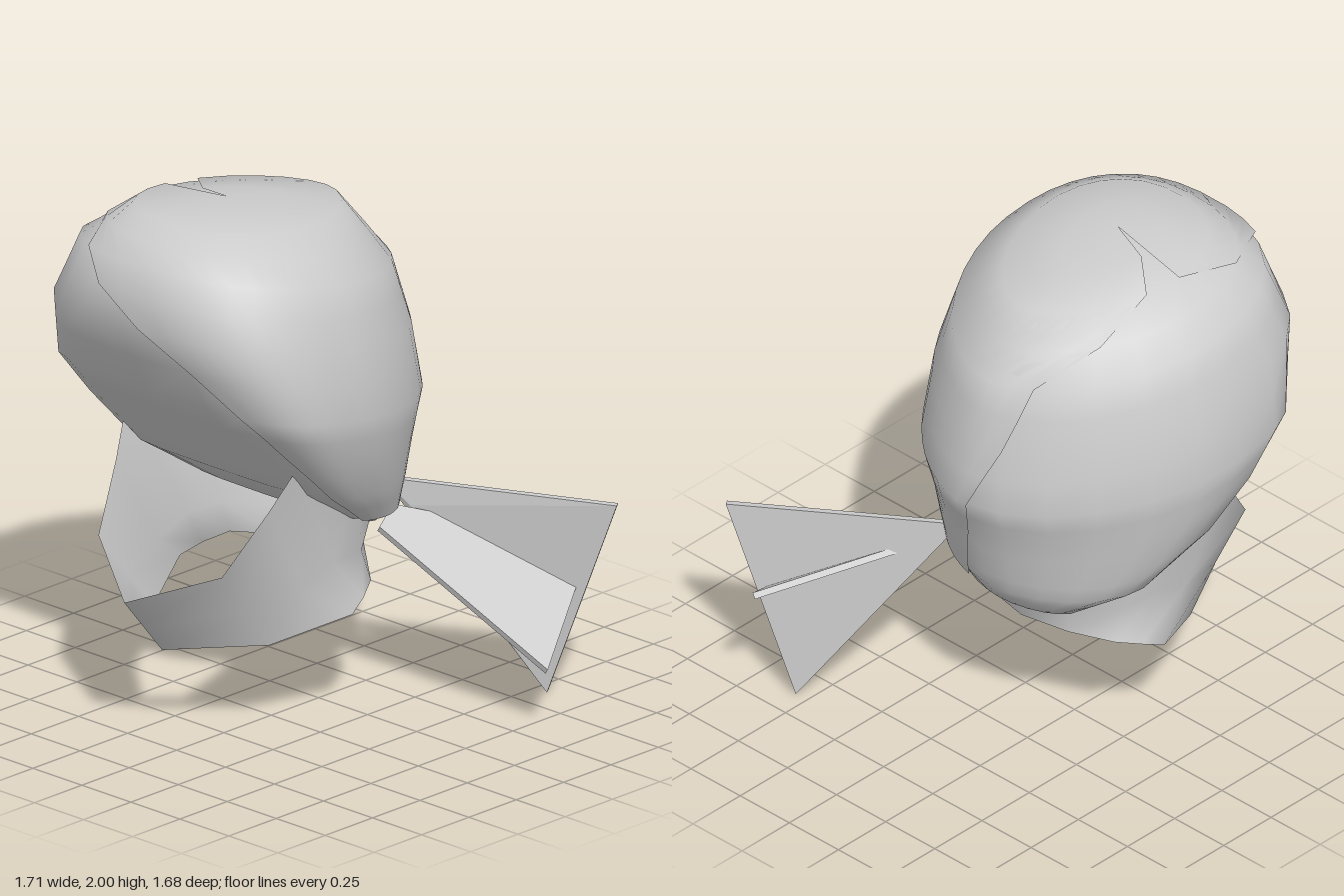
import * as THREE from 'three';
import { mergeVertices } from 'three/addons/utils/BufferGeometryUtils.js';
import { ConvexGeometry } from 'three/addons/geometries/ConvexGeometry.js';

const material = new THREE.MeshStandardMaterial({ color: 0xcccccc, side: THREE.DoubleSide });
const CX = -0.2; // the wrap sits off centre because the tails stick out to one side
const lerp = THREE.MathUtils.lerp;

// Smooth surface through a grid of points: point(column, row) -> Vector3
function surface(name, columns, rows, point) {
  const position = [], index = [];
  for (let r = 0; r <= rows; r++)
    for (let c = 0; c <= columns; c++) position.push(...point(c, r).toArray());
  for (let r = 0; r < rows; r++)
    for (let c = 0; c < columns; c++) {
      const a = r * (columns + 1) + c, b = a + columns + 1;
      index.push(a, b, a + 1, b, b + 1, a + 1);
    }
  let geometry = new THREE.BufferGeometry();
  geometry.setAttribute('position', new THREE.Float32BufferAttribute(position, 3));
  geometry.setIndex(index);
  geometry = mergeVertices(geometry, 1e-4); // closes the seams
  geometry.computeVertexNormals();
  const mesh = new THREE.Mesh(geometry, material);
  mesh.name = name;
  return mesh;
}

// Tilted rings of the wrap, top to bottom:
// front y, front z, back y, back z, widest z, half width, front squareness exponent
const rings = [
  [1.995, 0.28, 1.995, 0.28, 0.28, 0, 0.9],
  [1.98, 0.6, 1.9, -0.24, 0.25, 0.34, 0.9],
  [1.87, 0.78, 1.67, -0.42, 0.25, 0.545, 0.85],
  [1.65, 0.835, 1.42, -0.49, 0.25, 0.625, 0.75],
  [1.35, 0.7, 1.17, -0.535, 0.24, 0.66, 0.58],
  [1.16, 0.53, 1.0, -0.475, 0.18, 0.62, 0.52],
  [0.95, 0.35, 0.86, -0.44, 0.07, 0.55, 0.52],
  [0.78, 0.1, 0.74, -0.41, -0.06, 0.46, 0.6],
  [0.66, -0.14, 0.65, -0.35, -0.22, 0.28, 0.8],
  [0.64, -0.24, 0.64, -0.24, -0.24, 0, 0.9],
];

// Value between neighbouring rows of a list
const between = (list, t, pick) => {
  const i = Math.min(Math.floor(t), list.length - 2);
  return lerp(pick(list[i]), pick(list[i + 1]), t - i);
};

// Point on the wrap; angle 0 is the front, 90 the left side.
// The front is flat with rounded corners, the back narrows to a blunt point.
function wrapPoint(t, degrees, scale) {
  const [yf, zf, yb, zb, zc, w, e] = rings[0].map((_, i) => between(rings, t, (r) => r[i]));
  const a = THREE.MathUtils.degToRad(degrees);
  const s = Math.sin(a), c = Math.cos(a);
  const power = c > 0 ? e : 1.12;
  const x = w * Math.sign(s) * Math.abs(s) ** power;
  const z = zc + (c > 0 ? zf - zc : zb - zc) * Math.abs(c) ** power;
  const y = zf > zb ? lerp(yb, yf, (z - zb) / (zf - zb)) : yf;
  return new THREE.Vector3(
    CX + x * scale, 1.3 + (y - 1.3) * scale, 0.15 + (z - 0.15) * scale);
}

// Chin band: half of its top, waist and bottom edges, from the front middle to the back middle
const bandRows = [
  [[0, 0.56, 0.84], [0.315, 0.69, 0.65], [0.39, 0.92, 0.48], [0.44, 1.08, 0.38],
    [0.42, 0.95, 0.05], [0.26, 0.76, -0.22], [0, 0.72, -0.3]],
  [[0, 0.44, 0.74], [0.29, 0.51, 0.52], [0.365, 0.56, 0.28], [0.37, 0.62, 0.12],
    [0.36, 0.62, -0.04], [0.22, 0.6, -0.19], [0, 0.6, -0.25]],
  [[0, 0.32, 0.64], [0.295, 0.345, 0.38], [0.44, 0.425, 0.09], [0.41, 0.46, 0],
    [0.36, 0.49, -0.09], [0.2, 0.5, -0.17], [0, 0.5, -0.21]],
];
function bandPoint(column, row) {
  const side = column <= 6 ? 1 : -1;
  const [x, y, z] = bandRows[row][column <= 6 ? column : 12 - column];
  return new THREE.Vector3(-0.18 + side * x, y, z);
}

// Thin stiff cloth tail spanning four corners
function tail(name, corners, thickness) {
  const p = corners.map((c) => new THREE.Vector3(...c));
  const normal = p[2].clone().sub(p[0]).cross(p[3].clone().sub(p[0]))
    .setLength(thickness / 2);
  const points = p.flatMap((v) => [v.clone().add(normal), v.clone().sub(normal)]);
  const mesh = new THREE.Mesh(new ConvexGeometry(points), material);
  mesh.name = name;
  return mesh;
}

export function createModel() {
  const group = new THREE.Group();
  group.name = 'headWrap';

  // Closed under layer
  const steps = 2;
  group.add(surface('underLayer', 24, (rings.length - 1) * steps,
    (c, r) => wrapPoint(r / steps, c * 15, 0.992)));

  // Upper layer folded across the brow and down the left side
  const frontEdge = [-90, -90, -24, 4, 30, 42, 62, 70];
  const backEdge = [270, 250, 203, 194, 182, 176, 170, 165];
  group.add(surface('overLayer', 24, (frontEdge.length - 1) * steps, (c, r) => {
    const t = r / steps;
    const start = between(frontEdge, t, (v) => v), end = between(backEdge, t, (v) => v);
    return wrapPoint(t, lerp(start, end, c / 24), 1.006);
  }));

  // Band hanging under the chin
  group.add(surface('chinBand', 12, 2, bandPoint));

  // Two crossing tails of the knot
  group.add(tail('flatTail',
    [[0.18, 0.68, -0.13], [0.14, 0.73, -0.24], [0.58, 0.53, -0.835], [0.845, 0.24, -0.33]], 0.025));
  group.add(tail('uprightTail',
    [[0.16, 0.72, -0.32], [0.07, 0.82, -0.27], [0.82, 0.78, -0.73], [0.56, 0.005, -0.63]], 0.025));

  return group;
}
